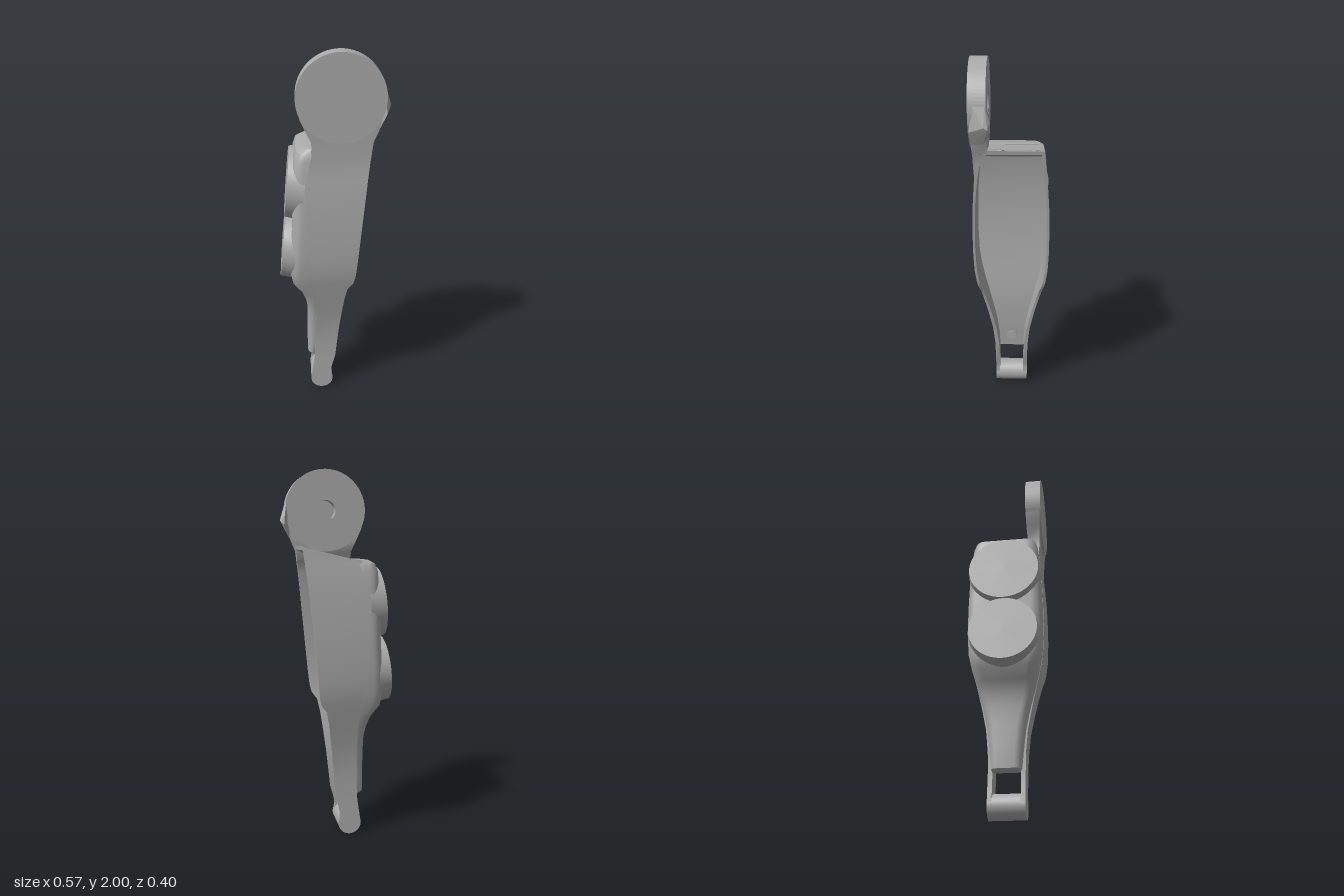
import * as THREE from 'three';
import { toCreasedNormals } from 'three/addons/utils/BufferGeometryUtils.js';
import { ConvexGeometry } from 'three/addons/geometries/ConvexGeometry.js';

// Skins rings of [x, y, z] points (counter-clockwise seen from above, bottom to top) and caps the ends.
function loft(rings) {
  const n = rings[0].length;
  const index = [];
  for (let i = 0; i < rings.length - 1; i++) {
    for (let j = 0; j < n; j++) {
      const a = i * n + j, b = i * n + (j + 1) % n;
      index.push(a, b, b + n, a, b + n, a + n);
    }
  }
  const top = (rings.length - 1) * n;
  for (let j = 1; j < n - 1; j++) {
    index.push(0, j + 1, j, top, top + j, top + j + 1);
  }
  const g = new THREE.BufferGeometry();
  g.setAttribute('position', new THREE.Float32BufferAttribute(rings.flat(2), 3));
  g.setIndex(index);
  return toCreasedNormals(g, 0.55);
}

function extrude(points, depth) {
  const shape = new THREE.Shape(points.map(([x, y]) => new THREE.Vector2(x, y)));
  return new THREE.ExtrudeGeometry(shape, { depth, bevelEnabled: false });
}

export function createModel() {
  const group = new THREE.Group();
  const grey = new THREE.MeshStandardMaterial({ color: 0xaaaaaa });
  grey.name = 'plain grey';
  const add = (name, geometry, x = 0, y = 0, z = 0) => {
    const mesh = new THREE.Mesh(geometry, grey);
    mesh.name = name;
    mesh.position.set(x, y, z);
    group.add(mesh);
    return mesh;
  };

  // Side plates: y, back x, front x, outer z, thickness
  const plateRows = [
    [0.065, -0.123, 0.002, 0.093, 0.023],
    [0.12, -0.114, -0.007, 0.093, 0.023],
    [0.16, -0.108, 0.001, 0.093, 0.023],
    [0.22, -0.1, 0.018, 0.093, 0.023],
    [0.32, -0.097, 0.028, 0.095, 0.022],
    [0.44, -0.092, 0.04, 0.106, 0.018],
    [0.55, -0.09, 0.053, 0.128, 0.016],
    [0.64, -0.095, 0.064, 0.149, 0.015],
    [0.72, -0.103, 0.08, 0.169, 0.014],
    [0.76, -0.108, 0.11, 0.178, 0.014],
    [0.8, -0.114, 0.12, 0.187, 0.014],
    [0.88, -0.126, 0.128, 0.197, 0.013],
    [1.0, -0.137, 0.139, 0.201, 0.012],
    [1.12, -0.143, 0.15, 0.2, 0.012],
    [1.25, -0.14, 0.163, 0.196, 0.012],
    [1.36, -0.132, 0.174, 0.188, 0.014],
    [1.44, -0.118, 0.183, 0.181, 0.016],
  ];
  const plateRing = ([y, xb, xf, zo, t], side, rise = 0) => {
    const hi = side > 0 ? zo : t - zo, lo = side > 0 ? zo - t : -zo;
    return [[xf, y + rise, hi], [xf, y + rise, lo], [xb, y, lo], [xb, y, hi]];
  };
  const neckRows = [
    [1.5, -0.106, 0.19, 0.184, 0.03],
    [1.56, -0.107, 0.197, 0.186, 0.068],
    [1.62, -0.135, 0.222, 0.19, 0.075],
    [1.68, -0.162, 0.236, 0.195, 0.08],
    [1.74, -0.176, 0.25, 0.198, 0.083],
  ];
  add('frontPlateAndNeck', loft([...plateRows, ...neckRows].map(r => plateRing(r, 1))));
  add('rearPlate', loft([
    ...plateRows.map(r => plateRing(r, -1)),
    plateRing([1.512, -0.104, 0.204, 0.165, 0.016], -1, 0.075),
  ]));

  // Bottom bar joining the two arms
  const bar = new THREE.CylinderGeometry(0.063, 0.063, 0.186, 40).rotateX(Math.PI / 2);
  add('bottomBar', bar, -0.06, 0.063, 0);

  // Back cover with rounded corners: y, inner x, back x, half width
  const coverRows = [
    [0.22, -0.095, -0.112, 0.068],
    [0.235, -0.095, -0.138, 0.076],
    [0.32, -0.085, -0.14, 0.084],
    [0.44, -0.08, -0.137, 0.098],
    [0.55, -0.078, -0.136, 0.121],
    [0.62, -0.082, -0.146, 0.141],
    [0.68, -0.088, -0.17, 0.157],
    [0.74, -0.095, -0.215, 0.172],
    [0.82, -0.107, -0.228, 0.189],
    [0.94, -0.12, -0.222, 0.198],
    [1.1, -0.13, -0.212, 0.199],
    [1.25, -0.128, -0.208, 0.195],
    [1.38, -0.115, -0.203, 0.186],
    [1.46, -0.1, -0.198, 0.178],
    [1.5, -0.09, -0.185, 0.168],
    [1.52, -0.088, -0.148, 0.15],
  ];
  add('backCover', loft(coverRows.map(([y, xi, xb, h]) => {
    const r = Math.min(0.055, (xi - xb) * 0.75);
    const arc = [0, 1, 2, 3, 4, 5].map(k => {
      const a = k / 5 * Math.PI / 2;
      return [xb + r - r * Math.sin(a), y, h - r + r * Math.cos(a)];
    });
    const mirrored = arc.map(([x, , z]) => [x, y, -z]);
    return [[xi, y, h], [xi, y, -h], ...mirrored, ...arc.reverse()];
  })));

  // Two tilted round pads on the back
  for (const [name, x, y, r] of [['lowerPad', -0.267, 0.925, 0.177], ['upperPad', -0.237, 1.292, 0.187]]) {
    const pad = new THREE.CylinderGeometry(r, r + 0.012, 0.09, 56).translate(0, -0.045, 0);
    add(name, toCreasedNormals(pad, 0.5), x, y, 0).rotation.z = Math.PI / 2 - 0.095;
  }

  // Sloping top wall with a hinge strip and two rounded tabs
  add('topWall', toCreasedNormals(extrude([
    [-0.108, 1.485], [0.05, 1.505], [0.13, 1.535], [0.202, 1.57],
    [0.205, 1.59], [0.13, 1.56], [0.05, 1.536], [-0.108, 1.516],
  ], 0.33), 0.5), 0, 0, -0.162);
  const strip = new THREE.BoxGeometry(0.04, 0.006, 0.28);
  add('hingeStrip', strip, 0.04, 1.536, -0.025).rotation.z = 0.2;
  for (const z of [-0.12, 0.055]) {
    const tab = add('hingeTab', new THREE.CylinderGeometry(0.018, 0.018, 0.006, 24), 0.077, 1.545, z);
    tab.rotation.z = 0.35;
  }

  // Round head: solid front face, ring behind it leaving a blind hole
  const ring = new THREE.Shape().absarc(0, 0, 0.22, 0, Math.PI * 2);
  ring.holes.push(new THREE.Path().absarc(0, 0, 0.056, 0, Math.PI * 2, true));
  const ringGeometry = new THREE.ExtrudeGeometry(ring, { depth: 0.06, bevelEnabled: false, curveSegments: 40 });
  add('headRing', ringGeometry, 0.037, 1.78, 0.114);
  const face = new THREE.CylinderGeometry(0.22, 0.22, 0.026, 80).rotateX(Math.PI / 2);
  add('headFace', face, 0.037, 1.78, 0.187);

  // Small pointed catch on the side of the head
  const catchPoints = [
    [0.25, 1.83, 0.12], [0.25, 1.83, 0.18], [0.285, 1.73, 0.125], [0.285, 1.72, 0.105],
    [0.266, 1.7, 0.093], [0.262, 1.75, 0.095], [0.258, 1.7, 0.195], [0.225, 1.63, 0.19],
    [0.235, 1.63, 0.13], [0.23, 1.74, 0.13],
  ].map(p => new THREE.Vector3(...p));
  add('catch', new ConvexGeometry(catchPoints));

  // Small round boss inside, near the bottom
  const boss = new THREE.CylinderGeometry(0.03, 0.03, 0.008, 32).rotateZ(Math.PI / 2);
  add('innerBoss', boss, -0.083, 0.3, 0);

  return group;
}
